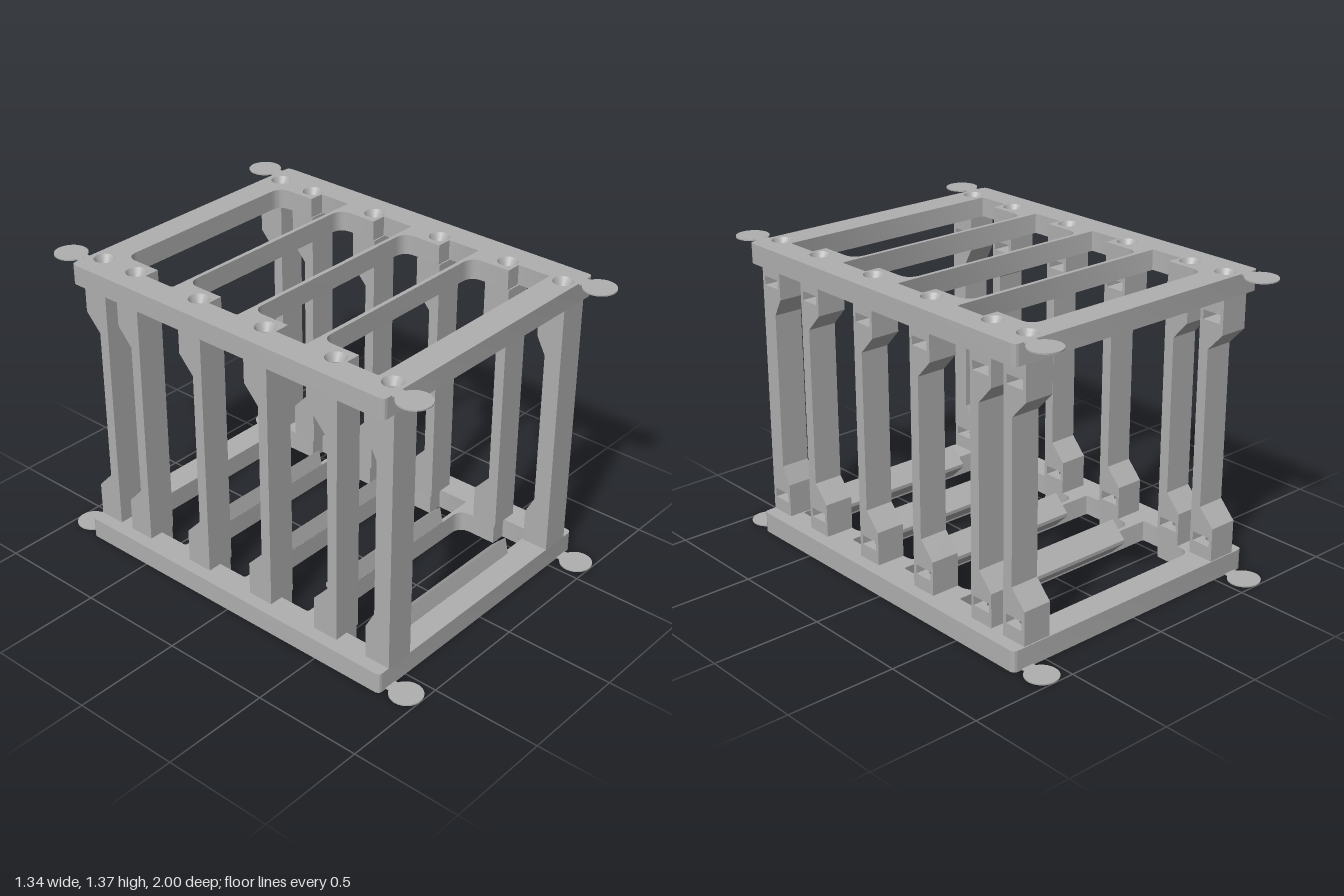
import * as THREE from 'three';
import { toCreasedNormals } from 'three/addons/utils/BufferGeometryUtils.js';

const grey = new THREE.MeshStandardMaterial({ color: 0xb0b0b0 });
grey.name = 'grey plastic';

const HOLE_X = 0.545, RIM = 0.045, BORE = 0.026;
const PLATE = 0.095, TOP0 = 1.28, TOP1 = 1.37;
// back and front limits of each post
const POSTS = [[0.722, 0.845], [0.444, 0.567], [0.08, 0.203], [-0.283, -0.16], [-0.645, -0.524], [-0.84, -0.716]];
const holeZ = ([a, b]) => (a + b) / 2;
const WINDOWS = [0, 1, 2, 3].map((i) => -0.72 + 0.3635 * i);
const DEPTH = 0.345;

function add(parent, name, geometry) {
  const mesh = new THREE.Mesh(geometry, grey);
  mesh.name = name;
  parent.add(mesh);
  return mesh;
}

// outline in (x, z) raised from y0 to y1
function slab(shape, y0, y1) {
  const g = new THREE.ExtrudeGeometry(shape, { depth: y1 - y0, bevelEnabled: false, curveSegments: 20 });
  g.rotateX(Math.PI / 2).translate(0, y1, 0);
  return toCreasedNormals(g, 0.6);
}

// outline in (z, y) drawn out along x
function across(points, x0, x1) {
  const shape = new THREE.Shape(points.map((p) => new THREE.Vector2(...p)));
  const g = new THREE.ExtrudeGeometry(shape, { depth: x1 - x0, bevelEnabled: false });
  return g.rotateY(-Math.PI / 2).translate(x1, 0, 0);
}

// polygon whose corners [x, y, radius] may be rounded
function rounded(corners, Type) {
  const path = new Type();
  corners.forEach(([x, y, r = 0], i) => {
    const n = corners.length;
    const p = new THREE.Vector2(x, y);
    const toward = (c) => new THREE.Vector2(c[0], c[1]).sub(p).setLength(r).add(p);
    const a = toward(corners[(i + n - 1) % n]);
    const b = toward(corners[(i + 1) % n]);
    if (i === 0) path.moveTo(a.x, a.y);
    else path.lineTo(a.x, a.y);
    if (r) path.quadraticCurveTo(x, y, b.x, b.y);
  });
  path.closePath();
  return path;
}

function circle(x, z, r) {
  return new THREE.Path().absarc(x, z, r, 0, Math.PI * 2, true);
}

// plate with four stepped windows and countersunk screw holes
function plate(name, y0, y1, sinkFromTop) {
  const group = new THREE.Group();
  group.name = name;
  const outline = rounded([[-0.67, -0.845, 0.025], [0.67, -0.845, 0.025], [0.67, 0.845, 0.025], [-0.67, 0.845, 0.025]], THREE.Shape);
  for (const z of WINDOWS) {
    outline.holes.push(rounded([
      [-0.475, z, 0.06], [0.475, z, 0.06], [0.475, z + 0.19], [0.545, z + 0.19],
      [0.545, z + DEPTH, 0.012], [-0.545, z + DEPTH, 0.012], [-0.545, z + 0.19], [-0.475, z + 0.19],
    ], THREE.Path));
  }
  for (const s of [-1, 1]) for (const p of POSTS) outline.holes.push(circle(s * HOLE_X, holeZ(p), RIM));
  add(group, 'frame', slab(outline, y0, y1));

  // funnel linings of the screw holes
  const h = y1 - y0;
  const funnel = new THREE.LatheGeometry(
    [[RIM, 0], [BORE, -0.035], [BORE, -h], [RIM, -h]].map((p) => new THREE.Vector2(...p)).reverse(), 24);
  const index = funnel.index.array;
  for (let i = 0; i < index.length; i += 3) [index[i], index[i + 1]] = [index[i + 1], index[i]];
  // lining faces the axis
  const lining = toCreasedNormals(orientInward(funnel), 0.4);
  for (const s of [-1, 1]) {
    for (const p of POSTS) {
      const m = add(group, 'countersink', lining);
      m.position.set(s * HOLE_X, sinkFromTop ? y1 : y0, holeZ(p));
      if (!sinkFromTop) m.rotation.x = Math.PI;
    }
  }

  // thin round anchor discs on short necks at the corners
  const discY = sinkFromTop ? y1 - 0.006 : y0;
  for (const sx of [-1, 1]) {
    for (const sz of [-1, 1]) {
      const disc = new THREE.CylinderGeometry(0.073, 0.073, 0.006, 32);
      add(group, 'anchorDisc', disc).position.set(sx * 0.597, discY + 0.003, sz * 0.927);
      const neck = new THREE.BoxGeometry(0.06, 0.0058, 0.04);
      add(group, 'anchorNeck', neck).position.set(sx * 0.597, discY + 0.003, sz * 0.855);
    }
  }
  return group;
}

// turns every triangle of a funnel so that it faces the axis or upward
function orientInward(geometry) {
  const g = geometry.toNonIndexed();
  const pos = g.attributes.position;
  const [a, b, c] = [0, 1, 2].map(() => new THREE.Vector3());
  for (let i = 0; i < pos.count; i += 3) {
    [a, b, c].forEach((v, k) => v.fromBufferAttribute(pos, i + k));
    const n = b.clone().sub(a).cross(c.clone().sub(a));
    const mid = a.clone().add(b).add(c).divideScalar(3);
    if (n.x * -mid.x + n.z * -mid.z + n.y * 0.05 < 0) {
      pos.setXYZ(i + 1, c.x, c.y, c.z);
      pos.setXYZ(i + 2, b.x, b.y, b.z);
    }
  }
  return g;
}

// upright with thick ends, screw bores and nut slots opening toward +x
function post(side, [z0, z1], front) {
  const group = new THREE.Group();
  group.name = side > 0 ? 'leftPost' : 'rightPost';
  const cx = side * HOLE_X, cz = (z0 + z1) / 2;
  const x0 = side > 0 ? 0.475 : -0.61, x1 = x0 + 0.135;
  const thin = z1 - (front ? 0.08 : 0.049);
  add(group, 'shaft', across([
    [z1, 0.2], [z1, 1.171], [z0, 1.171], [z0, 1.125], [thin, 1.045], [thin, 0.328], [z0, 0.248], [z0, 0.2],
  ], x0, x1));

  // layers holding the hexagonal nut slots
  const w = 0.046, r = w / Math.cos(Math.PI / 6);
  const slot = rounded([
    [x0, z0], [x1, z0], [x1, cz - w], [cx - r / 2, cz - w], [cx - r, cz], [cx - r / 2, cz + w],
    [x1, cz + w], [x1, z1], [x0, z1],
  ], THREE.Shape);
  add(group, 'lowerNutSlot', slab(slot, 0.158, 0.2));
  add(group, 'upperNutSlot', slab(slot, 1.171, 1.211));

  // bored end blocks
  const end = rounded([[x0, z0], [x1, z0], [x1, z1], [x0, z1]], THREE.Shape);
  end.holes.push(circle(cx, cz, BORE));
  add(group, 'foot', slab(end, PLATE, 0.158));
  add(group, 'head', slab(end, 1.211, TOP0));
  return group;
}

export function createModel() {
  const model = new THREE.Group();
  model.name = 'openRack';
  model.add(plate('bottomPlate', 0, PLATE, false));
  model.add(plate('topPlate', TOP0, TOP1, true));
  for (const side of [-1, 1]) POSTS.forEach((p, i) => model.add(post(side, p, i === 0)));

  // slanted stop ridges at the front of each lower window
  for (const z of WINDOWS) {
    const e = z + DEPTH;
    add(model, 'stopRidge', across([
      [e + 0.004, 0.004], [e + 0.018, 0.09], [e + 0.018, 0.096], [e, 0.17], [e - 0.075, 0.096], [e - 0.075, 0.08],
    ], -0.345, 0.345));
  }
  return model;
}
